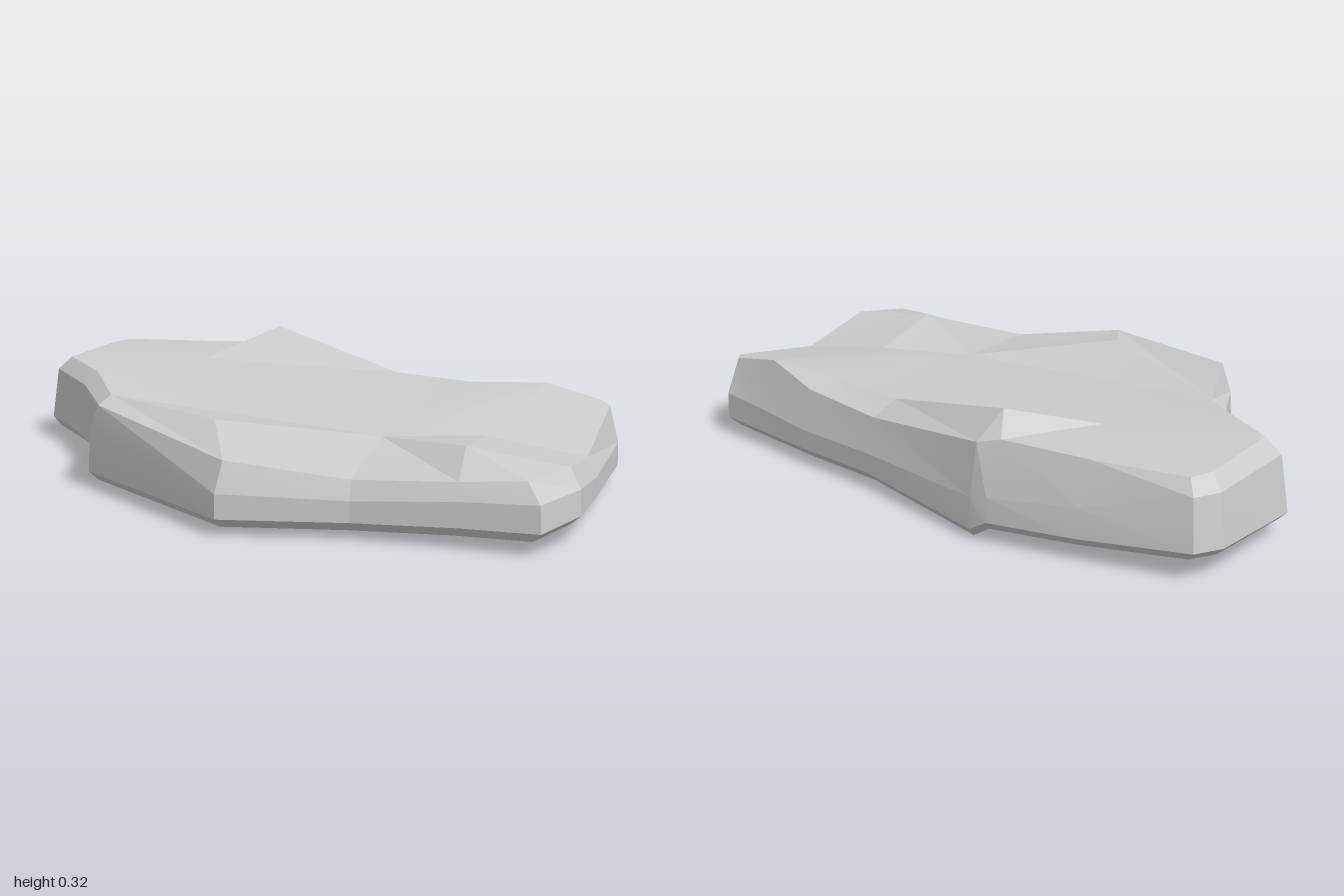
import * as THREE from 'three';
import { toCreasedNormals } from 'three/addons/utils/BufferGeometryUtils.js';

// Outline stations: widest x, z | top edge x, z, y | shoulder y | bottom rim y
const STATIONS = [
  [0.14, -1.0, 0.13, -0.945, 0.25, 0.21, 0.05],
  [0.22, -0.985, 0.2, -0.945, 0.25, 0.21, 0.05],
  [0.365, -0.72, 0.325, -0.72, 0.255, 0.14, 0.035],
  [0.475, -0.5, 0.43, -0.505, 0.265, 0.12, 0.03],
  [0.488, -0.45, 0.465, -0.45, 0.25, 0.11, 0.0],
  [0.515, 0.0, 0.49, 0.0, 0.195, 0.1, 0.02],
  [0.56, 0.27, 0.53, 0.27, 0.21, 0.1, 0.02],
  [0.58, 0.45, 0.54, 0.46, 0.25, 0.11, 0.02],
  [0.607, 0.63, 0.565, 0.63, 0.22, 0.12, 0.025],
  [0.565, 0.69, 0.54, 0.675, 0.215, 0.11, 0.02],
  [0.22, 0.86, 0.22, 0.83, 0.15, 0.1, 0.02],
  [-0.04, 1.0, -0.04, 0.965, 0.19, 0.14, 0.05],
  [-0.2, 1.0, -0.19, 0.95, 0.18, 0.13, 0.035],
  [-0.28, 0.81, -0.265, 0.8, 0.165, 0.12, 0.03],
  [-0.4, 0.57, -0.385, 0.56, 0.15, 0.1, 0.02],
  [-0.61, 0.31, -0.58, 0.31, 0.19, 0.11, 0.02],
  [-0.51, -0.3, -0.505, -0.26, 0.235, 0.16, 0.02],
  [-0.34, -0.48, -0.31, -0.44, 0.21, 0.18, 0.025],
  [-0.25, -0.66, -0.21, -0.62, 0.24, 0.2, 0.03],
  [-0.17, -0.89, -0.14, -0.83, 0.25, 0.21, 0.035],
];

// Peaks and hollows inside the top surface (numbered on from the stations)
const INNER = [
  [0.39, 0.325, -0.46], [0.42, 0.235, 0.0], [0.46, 0.235, 0.25], [0.13, 0.25, -0.52],
  [-0.07, 0.18, 0.38], [-0.14, 0.22, 0.72], [-0.41, 0.235, 0.1], [0.11, 0.185, 0.58],
];

// Facets of the top, listed clockwise from above
const FACETS = [
  0, 1, 23, 1, 2, 23, 2, 3, 23, 3, 20, 23, 3, 4, 20, 4, 21, 20, 4, 5, 21, 5, 22, 21,
  5, 6, 22, 20, 21, 23, 21, 24, 23, 21, 22, 24, 22, 7, 24, 6, 7, 22, 7, 8, 9, 7, 9, 10,
  7, 10, 27, 7, 27, 24, 10, 25, 27, 27, 25, 24, 10, 11, 25, 11, 12, 25, 12, 13, 25,
  13, 24, 25, 13, 14, 24, 14, 15, 24, 15, 26, 24, 15, 16, 17, 15, 17, 26,
  26, 17, 24, 17, 23, 24, 17, 18, 23, 18, 19, 23, 19, 0, 23,
];

function makeMesh(name, points, index, crease, material) {
  const geometry = new THREE.BufferGeometry();
  geometry.setAttribute('position', new THREE.Float32BufferAttribute(points.flat(), 3));
  geometry.setIndex(index);
  const mesh = new THREE.Mesh(toCreasedNormals(geometry, crease), material);
  mesh.name = name;
  return mesh;
}

// Triangles joining consecutive closed rings
function ringIndex(ringCount) {
  const n = STATIONS.length;
  const index = [];
  for (let r = 0; r < ringCount - 1; r++) {
    for (let i = 0; i < n; i++) {
      const a = r * n + i, b = r * n + (i + 1) % n;
      index.push(a, b, a + n, b, b + n, a + n);
    }
  }
  return index;
}

export function createModel() {
  const group = new THREE.Group();
  group.name = 'rockSlab';
  const material = new THREE.MeshStandardMaterial({ color: 0xcccccc, side: THREE.DoubleSide });

  // Uneven top surface
  const topEdge = STATIONS.map(([, , x, z, y]) => [x, y, z]);
  const topIndex = [];
  for (let i = 0; i < FACETS.length; i += 3) {
    topIndex.push(FACETS[i], FACETS[i + 2], FACETS[i + 1]);
  }
  group.add(makeMesh('topSurface', [...topEdge, ...INNER], topIndex, 0.15, material));

  // Bevelled side wall; high shoulders lean in towards the top edge
  const shoulder = STATIONS.map(([x, z, tx, tz, , y]) => {
    const lean = (y - 0.1) * 3;
    return [x + (tx - x) * lean, y, z + (tz - z) * lean];
  });
  const belly = STATIONS.map(([x, z, , , , , y]) => [x, y + 0.025, z]);
  const rim = STATIONS.map(([x, z, , , , , y]) => [x * 0.955, y, z * 0.97]);
  const wall = [topEdge, shoulder, belly, rim];
  group.add(makeMesh('sideWall', wall.flat(), ringIndex(wall.length), 0.2, material));

  // Hollow underside: a short inner wall, and a ceiling that follows the top
  const ceilingEdge = STATIONS.map(([x, z, , , y]) => [x * 0.92, Math.min(y - 0.03, 0.15), z * 0.94]);
  const innerWall = [rim, ceilingEdge];
  group.add(makeMesh('innerWall', innerWall.flat(), ringIndex(innerWall.length), 0.2, material));
  const ceilingInner = INNER.map(([x, y, z]) => [x * 0.94, y - 0.035, z]);
  group.add(makeMesh('hollowCeiling', [...ceilingEdge, ...ceilingInner], FACETS, 0.6, material));

  return group;
}
